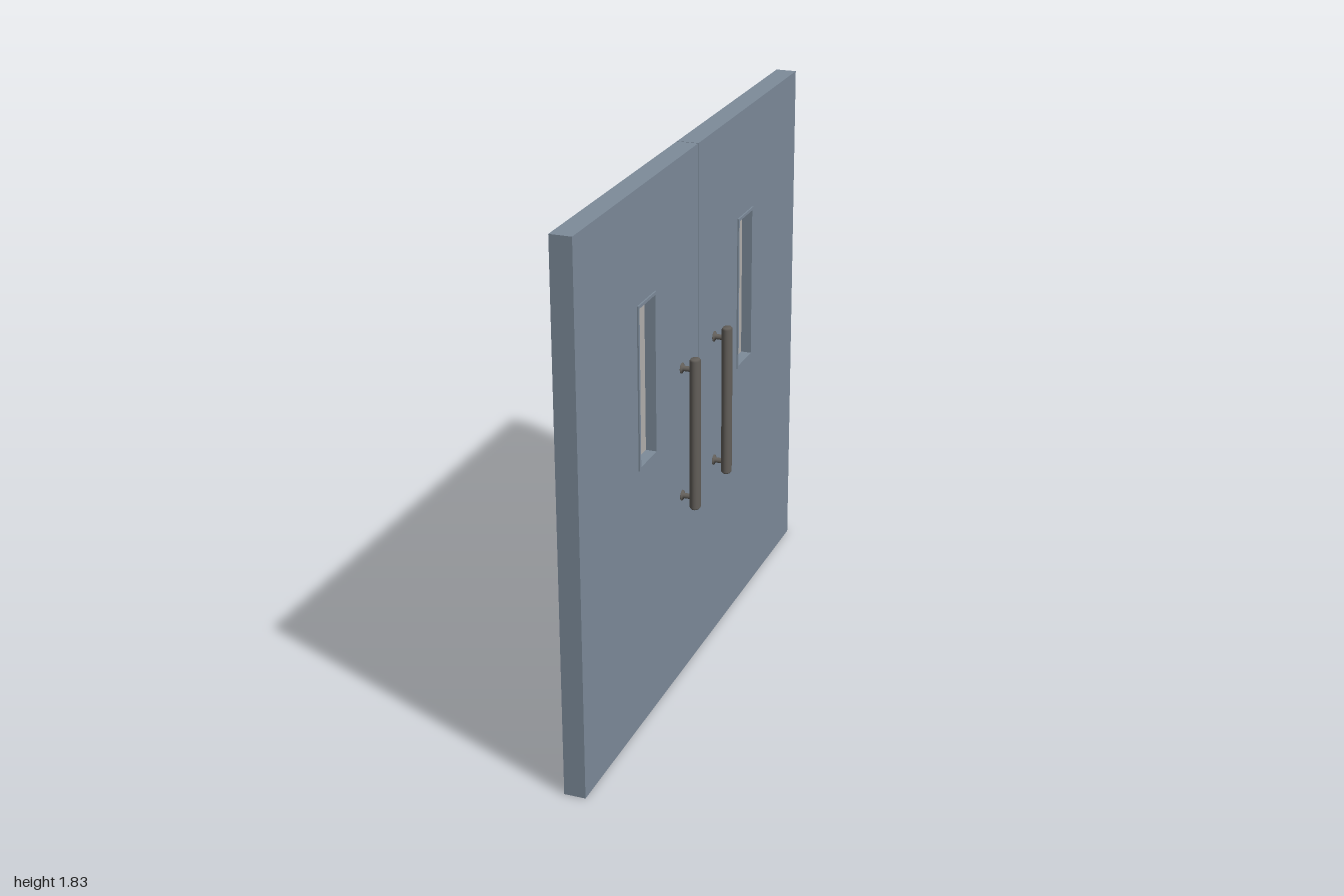
import * as THREE from 'three';

const HEIGHT = 1.83, BACK = -0.067, FRONT = 0.005;

// Closed rectangle as points, used for outlines and holes
function rect(x0, x1, y0, y1) {
  return [[x0, y0], [x1, y0], [x1, y1], [x0, y1]].map(p => new THREE.Vector2(...p));
}

// Panel with a rectangular opening, extruded through x from x0 to x1
function piercedPanel(outer, hole, x0, x1) {
  const shape = new THREE.Shape(outer);
  shape.holes.push(new THREE.Path(hole.slice().reverse()));
  const geo = new THREE.ExtrudeGeometry(shape, { depth: x1 - x0, bevelEnabled: false });
  geo.rotateY(Math.PI / 2);
  geo.translate(x0, 0, 0);
  return geo;
}

export function createModel() {
  const paint = new THREE.MeshStandardMaterial({ color: 0x7d8b9a });
  paint.name = 'slatePaint';
  const metal = new THREE.MeshStandardMaterial({ color: 0x625e59 });
  metal.name = 'darkMetal';
  const glass = new THREE.MeshStandardMaterial({ color: 0xb2b0ae });
  glass.name = 'frostedGlass';

  const model = new THREE.Group();
  model.name = 'doubleDoor';

  for (const side of [1, -1]) {
    const leaf = new THREE.Group();
    leaf.name = side > 0 ? 'frontLeaf' : 'backLeaf';
    model.add(leaf);
    const add = (name, geo, mat, x = 0, y = 0, z = 0) => {
      const mesh = new THREE.Mesh(geo, mat);
      mesh.name = name;
      mesh.position.set(x, y, z);
      leaf.add(mesh);
      return mesh;
    };
    // Outlines run along -z once extruded
    const span = (a, b, y0, y1) => side > 0 ? rect(-b, -a, y0, y1) : rect(a, b, y0, y1);
    const opening = span(0.392, 0.522, 0.925, 1.453);

    // Door slab with window opening
    add('doorSlab', piercedPanel(span(0.0015, 1, 0, HEIGHT), opening, BACK, FRONT), paint);

    // Raised trim around the window, on both faces
    const trim = span(0.382, 0.532, 0.915, 1.463);
    add('outerWindowTrim', piercedPanel(trim, opening, FRONT, FRONT + 0.005), paint);
    add('innerWindowTrim', piercedPanel(trim, opening, BACK - 0.005, BACK), paint);

    // Recessed pane
    add('windowPane', new THREE.BoxGeometry(0.009, 0.528, 0.13), glass, -0.031, 1.189, side * 0.457);

    // Pull handle: oval bar with chamfered ends
    const z = side * 0.153;
    const profile = [[0, -0.267], [0.017, -0.267], [0.022, -0.261], [0.022, 0.261], [0.017, 0.267], [0, 0.267]]
      .map(p => new THREE.Vector2(...p));
    const bar = add('handleBar', new THREE.LatheGeometry(profile, 24), metal, 0.052, 0.892, z);
    bar.scale.x = 0.82;

    // Standoffs with flared bases against the door
    const post = [[0.018, 0], [0.018, 0.003], [0.009, 0.008], [0.009, 0.042]]
      .map(p => new THREE.Vector2(...p));
    for (const y of [0.665, 1.12]) {
      const standoff = add('handleStandoff', new THREE.LatheGeometry(post, 16), metal, FRONT, y, z);
      standoff.rotation.z = -Math.PI / 2;
    }
  }
  return model;
}
